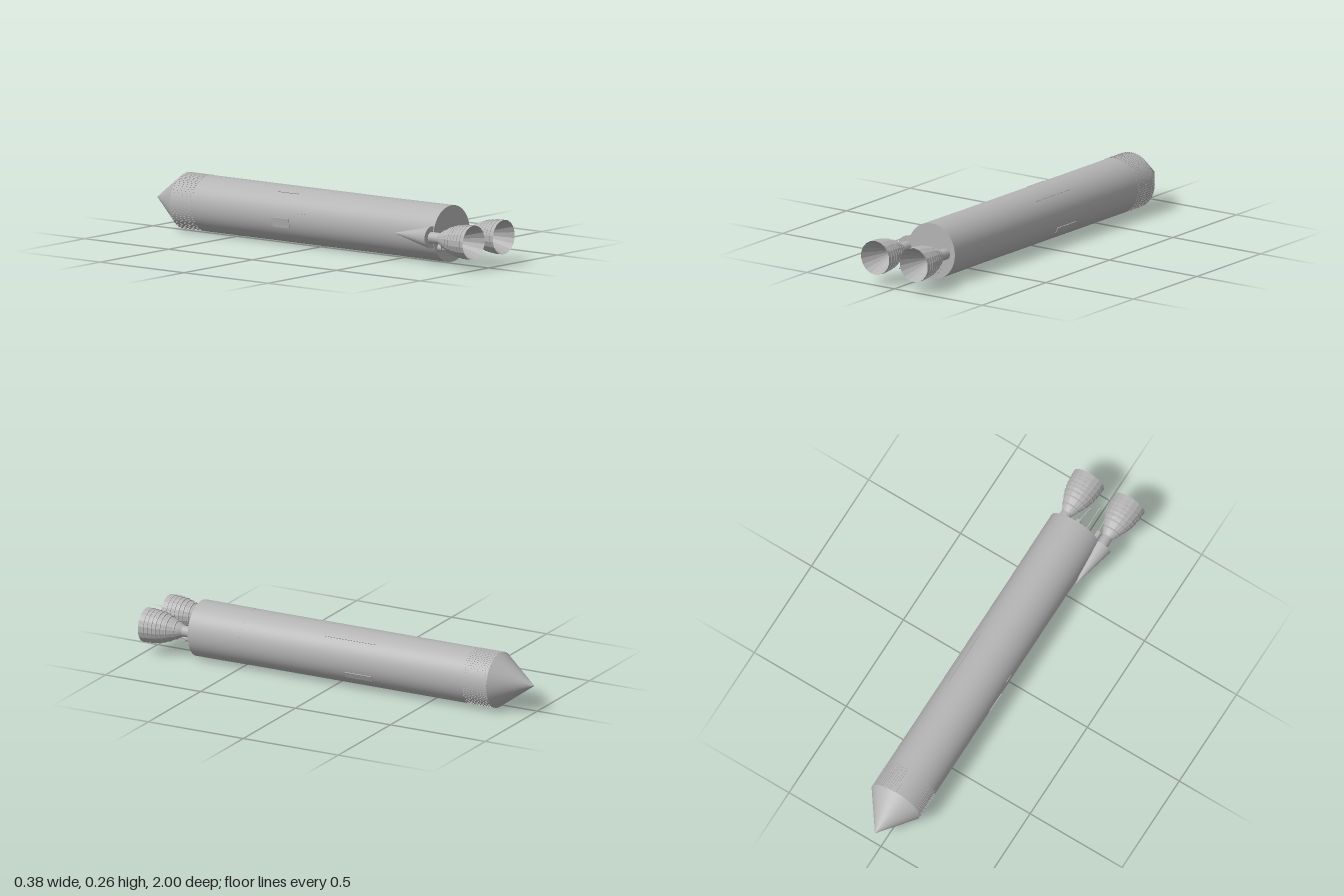
import * as THREE from 'three';

export function createModel() {
  const root = new THREE.Group();
  root.name = 'rocketBooster';
  const grey = new THREE.MeshStandardMaterial({ color: 0xb4b4b4 });
  grey.name = 'light grey';
  const greyOpen = new THREE.MeshStandardMaterial({ color: 0xb4b4b4, side: THREE.DoubleSide, flatShading: true });
  greyOpen.name = 'light grey open surface';
  const CX = 0.032, CY = 0.133, R = 0.131;

  const add = (parent, name, geo, mat = grey) => {
    const m = new THREE.Mesh(geo, mat);
    m.name = name;
    parent.add(m);
    return m;
  };
  // Tapered tube along z, from z0 (radius r0) to z1 (radius r1)
  const tube = (parent, name, z0, z1, r0, r1, sides, x = 0, y = 0, open = false) => {
    const g = new THREE.CylinderGeometry(r1, r0, z1 - z0, sides, 1, open);
    g.rotateX(Math.PI / 2);
    g.translate(x, y, (z0 + z1) / 2);
    return add(parent, name, g);
  };
  // Thin bar between two points
  const rod = (parent, name, a, b, r, sides = 8) => {
    const path = new THREE.LineCurve3(new THREE.Vector3(...a), new THREE.Vector3(...b));
    return add(parent, name, new THREE.TubeGeometry(path, 1, r, sides), greyOpen);
  };

  // Main body, nose and collars
  const body = new THREE.Group();
  body.name = 'body';
  body.position.set(CX, CY, 0);
  root.add(body);
  tube(body, 'tank', -0.82, 0.75, R, R, 72);
  tube(body, 'noseCone', -1, -0.82, 0.001, R, 48);
  tube(body, 'aftSkirt', 0.48, 0.752, R + 0.0005, R + 0.0015, 72);

  // Stringers around the forward collar
  const ribs = 72;
  const ribGeo = new THREE.BoxGeometry(0.003, 0.004, 0.13);
  for (let i = 0; i < ribs; i++) {
    const a = (i / ribs) * Math.PI * 2;
    const rib = add(body, 'stringer', ribGeo);
    rib.position.set(Math.sin(a) * (R - 0.0008), Math.cos(a) * (R - 0.0008), -0.755);
    rib.rotation.z = -a;
  }

  // Raised plates and conduits on the hull: angle from top, z centre, width, length
  for (const [name, a, z, w, l] of [
    ['sidePanel', -1.75, -0.16, 0.045, 0.1],
    ['sideConduit', -1.35, -0.04, 0.006, 0.04],
    ['topConduit', -0.58, -0.16, 0.005, 0.12],
    ['longConduit', 0.72, -0.08, 0.004, 0.27],
    ['farPanel', 2.05, -0.14, 0.03, 0.14],
  ]) {
    const plate = add(body, name, new THREE.BoxGeometry(w, 0.005, l));
    plate.position.set(Math.sin(a) * R, Math.cos(a) * R, z);
    plate.rotation.z = -a;
  }

  // Conical fairing over the outboard engine mount
  tube(root, 'engineFairing', 0.53, 0.748, 0.001, 0.052, 32, -0.108, 0.131)
    .geometry.computeBoundingSphere();

  // Engines: outer bell, straight inner cone, hoops, neck
  const outer = [[0.025, 0.8], [0.036, 0.82], [0.05, 0.85], [0.063, 0.88], [0.073, 0.915], [0.078, 0.95], [0.081, 1]];
  const radiusAt = (z) => {
    const i = Math.max(1, outer.findIndex((p) => p[1] >= z));
    const [a, b] = [outer[i - 1], outer[i]];
    return a[0] + ((z - a[1]) / (b[1] - a[1])) * (b[0] - a[0]);
  };
  const lathe = (pts, sides) => {
    const g = new THREE.LatheGeometry(pts.map(([r, z]) => new THREE.Vector2(r, z)), sides);
    g.rotateX(Math.PI / 2);
    return g;
  };
  for (const side of [-1, 1]) {
    const engine = new THREE.Group();
    engine.name = side < 0 ? 'rightEngine' : 'leftEngine';
    engine.position.set(side * 0.11, 0.131, 0);
    root.add(engine);
    add(engine, 'nozzleOuter', lathe(outer, 18), greyOpen);
    add(engine, 'nozzleInner', lathe([[0.081, 1], [0.005, 0.83], [0, 0.83]], 18), greyOpen);
    for (const z of [0.835, 0.87, 0.895, 0.915, 0.935, 0.955, 0.975]) {
      const r = radiusAt(z);
      add(engine, 'hoop', lathe([[r - 0.002, z - 0.004], [r + 0.002, z - 0.003], [r + 0.002, z + 0.003], [r - 0.001, z + 0.004]], 18), greyOpen);
    }
    tube(engine, 'neck', 0.74, 0.81, 0.027, 0.026, 20);

    // Turbine exhaust beside the bell
    const x = side * 0.055;
    tube(root, 'exhaustFlange', 0.745, 0.775, 0.018, 0.018, 14, x, 0.078);
    tube(root, 'exhaustPipe', 0.775, 0.82, 0.012, 0.014, 14, x, 0.076);
    rod(root, 'exhaustStrut', [x, 0.078, 0.8], [side * 0.042, 0.07, 0.9], 0.004);
    // Small tilted plate behind the exhaust
    const plate = add(root, 'mountPlate', new THREE.BoxGeometry(0.05, 0.035, 0.004));
    plate.position.set(side < 0 ? -0.04 : 0.07, side < 0 ? 0.086 : 0.066, 0.766);
    plate.rotation.z = side < 0 ? 0.8 : -0.75;
  }

  // Slim rod between the engines
  rod(root, 'centreRod', [0.014, 0.03, 0.82], [0.005, 0.08, 0.92], 0.0015, 6);
  return root;
}
